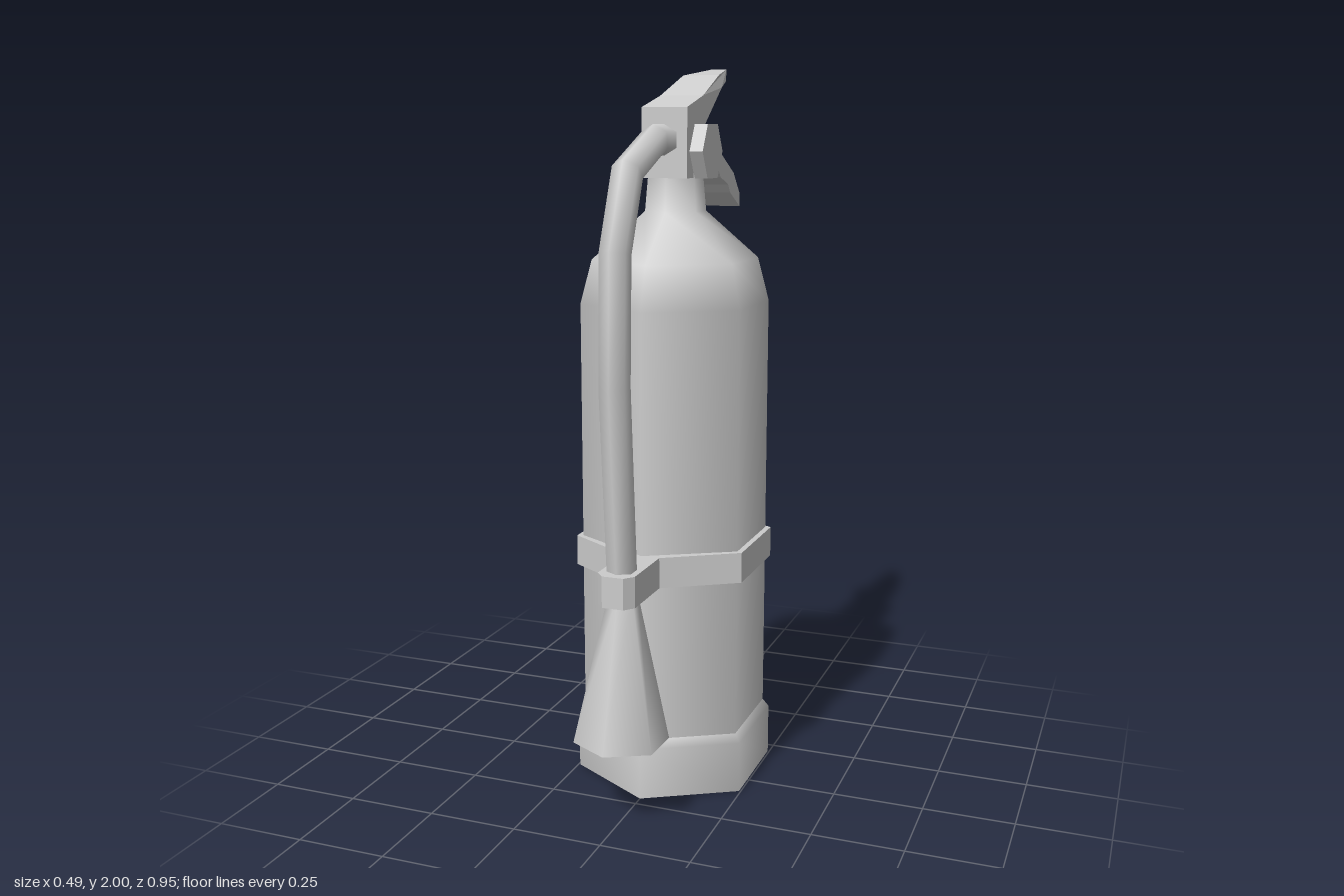
import * as THREE from 'three';

const material = new THREE.MeshStandardMaterial({ color: 0xcccccc });
const SIDES = 6;      // everything round is a hexagon with corners on the z axis
const AXIS_Z = -0.065; // the cylinder sits behind the origin, the hose in front

function part(parent, name, geometry) {
  const mesh = new THREE.Mesh(geometry, material);
  mesh.name = name;
  parent.add(mesh);
  return mesh;
}

// Smooth six-sided body of revolution from [radius, height] pairs
function turned(profile) {
  const pts = profile.map(([r, y]) => new THREE.Vector2(r, y));
  return new THREE.LatheGeometry(pts, SIDES).translate(0, 0, AXIS_Z);
}

// Side outline in [z, y], extruded across x; halfWidth(z) sets the thickness
function sideProfile(outline, halfWidth) {
  const shape = new THREE.Shape(outline.map(([z, y]) => new THREE.Vector2(-z, y)));
  const geo = new THREE.ExtrudeGeometry(shape, { depth: 2, bevelEnabled: false });
  geo.translate(0, 0, -1).rotateY(Math.PI / 2);
  const p = geo.attributes.position;
  for (let i = 0; i < p.count; i++) p.setX(i, p.getX(i) * halfWidth(p.getZ(i)));
  geo.computeVertexNormals();
  return geo;
}

// Hexagonal pipe swept through [z, y, radius] points with mitred bends
function pipe(path) {
  const last = path.length - 1;
  const pts = path.map(([z, y]) => new THREE.Vector2(z, y));
  const dirs = pts.slice(1).map((q, i) => q.clone().sub(pts[i]).normalize());
  const rings = pts.map((c, i) => {
    const a = dirs[Math.max(i - 1, 0)], b = dirs[Math.min(i, last - 1)];
    const t = a.clone().add(b).normalize();
    return { c, n: new THREE.Vector2(-t.y, t.x).divideScalar(t.dot(a)), r: path[i][2] };
  });
  const geo = new THREE.CylinderGeometry(1, 1, 1, SIDES, last, true);
  const p = geo.attributes.position, uv = geo.attributes.uv;
  for (let i = 0; i < p.count; i++) {
    const { c, n, r } = rings[Math.round((1 - uv.getY(i)) * last)];
    const s = p.getZ(i) * r;
    p.setXYZ(i, p.getX(i) * r, c.y + n.y * s, c.x + n.x * s);
  }
  geo.computeVertexNormals();
  // Average the normals across the seam
  const nor = geo.attributes.normal;
  for (let k = 0; k <= last; k++) {
    const i = k * (SIDES + 1), j = i + SIDES;
    const v = new THREE.Vector3().fromBufferAttribute(nor, i)
      .add(new THREE.Vector3().fromBufferAttribute(nor, j)).normalize();
    nor.setXYZ(i, v.x, v.y, v.z);
    nor.setXYZ(j, v.x, v.y, v.z);
  }
  return geo;
}

export function createModel() {
  const model = new THREE.Group();
  model.name = 'fireExtinguisher';

  // Cylinder with shoulder and neck
  part(model, 'tank', turned([
    [0.265, 0.1], [0.265, 1.36], [0.233, 1.48], [0.085, 1.61], [0.075, 1.72],
  ]));

  // Foot ring with a bevelled top edge, and its floor
  part(model, 'base', turned([[0.283, 0], [0.283, 0.145], [0.262, 0.172]]));
  part(model, 'baseFloor', new THREE.CircleGeometry(0.283, SIDES)
    .rotateZ(Math.PI / 2).rotateX(Math.PI / 2).translate(0, 0, AXIS_Z));

  // Strap around the tank, reaching forward to hold the hose
  const half = [[0, -0.333], [0.245, -0.2], [0.245, 0.076], [0.052, 0.2], [0.052, 0.375], [0.03, 0.402]];
  const mirrored = half.slice(1).reverse().map(([x, z]) => [-x, z]);
  const strapShape = new THREE.Shape([...half, ...mirrored].map(([x, z]) => new THREE.Vector2(x, -z)));
  part(model, 'strap', new THREE.ExtrudeGeometry(strapShape, { depth: 0.085, bevelEnabled: false })
    .rotateX(-Math.PI / 2).translate(0, 0.615, 0));

  // Valve block
  part(model, 'valve', sideProfile(
    [[0.024, 1.7], [-0.152, 1.7], [-0.125, 1.84], [0.024, 1.885]], () => 0.065));

  // Upper lever, narrowing towards its tip
  const leverWidth = (z) => z > -0.2
    ? THREE.MathUtils.mapLinear(z, -0.2, 0.024, 0.061, 0.065)
    : z > -0.3
      ? THREE.MathUtils.mapLinear(z, -0.3, -0.2, 0.05, 0.061)
      : THREE.MathUtils.mapLinear(z, -0.425, -0.3, 0.024, 0.05);
  part(model, 'upperLever', sideProfile([
    [0.024, 1.885], [-0.125, 1.84], [-0.315, 1.945], [-0.417, 1.967],
    [-0.425, 2], [-0.27, 1.978], [-0.11, 1.918],
  ], leverWidth));

  // Lower handle with finger grips underneath
  part(model, 'lowerHandle', sideProfile([
    [-0.08, 1.835], [-0.125, 1.838], [-0.285, 1.768], [-0.415, 1.705], [-0.475, 1.643],
    [-0.475, 1.605], [-0.385, 1.648], [-0.365, 1.672], [-0.295, 1.695],
    [-0.262, 1.73], [-0.19, 1.745], [-0.15, 1.77], [-0.08, 1.77],
  ], () => 0.052));

  // Pressure gauge on the left side of the valve
  const gauge = part(model, 'gauge', new THREE.CylinderGeometry(0.083, 0.083, 0.06, SIDES)
    .toNonIndexed().rotateZ(-Math.PI / 2).translate(0.072, 1.77, -0.077));
  gauge.geometry.computeVertexNormals();

  // Hose from the valve down to the nozzle
  part(model, 'hose', pipe([
    [0, 1.8, 0.041], [0.095, 1.8, 0.041], [0.283, 1.722, 0.041], [0.367, 1.525, 0.041],
    [0.377, 1.19, 0.041], [0.338, 0.7, 0.04], [0.332, 0.6, 0.039],
  ]));

  // Flared nozzle and its end face
  part(model, 'nozzle', pipe([[0.33, 0.64, 0.038], [0.348, 0.23, 0.129]]));
  part(model, 'nozzleEnd', new THREE.CircleGeometry(0.129, SIDES)
    .rotateZ(Math.PI / 2).rotateX(Math.PI / 2 - 0.044).translate(0, 0.23, 0.348));

  return model;
}
